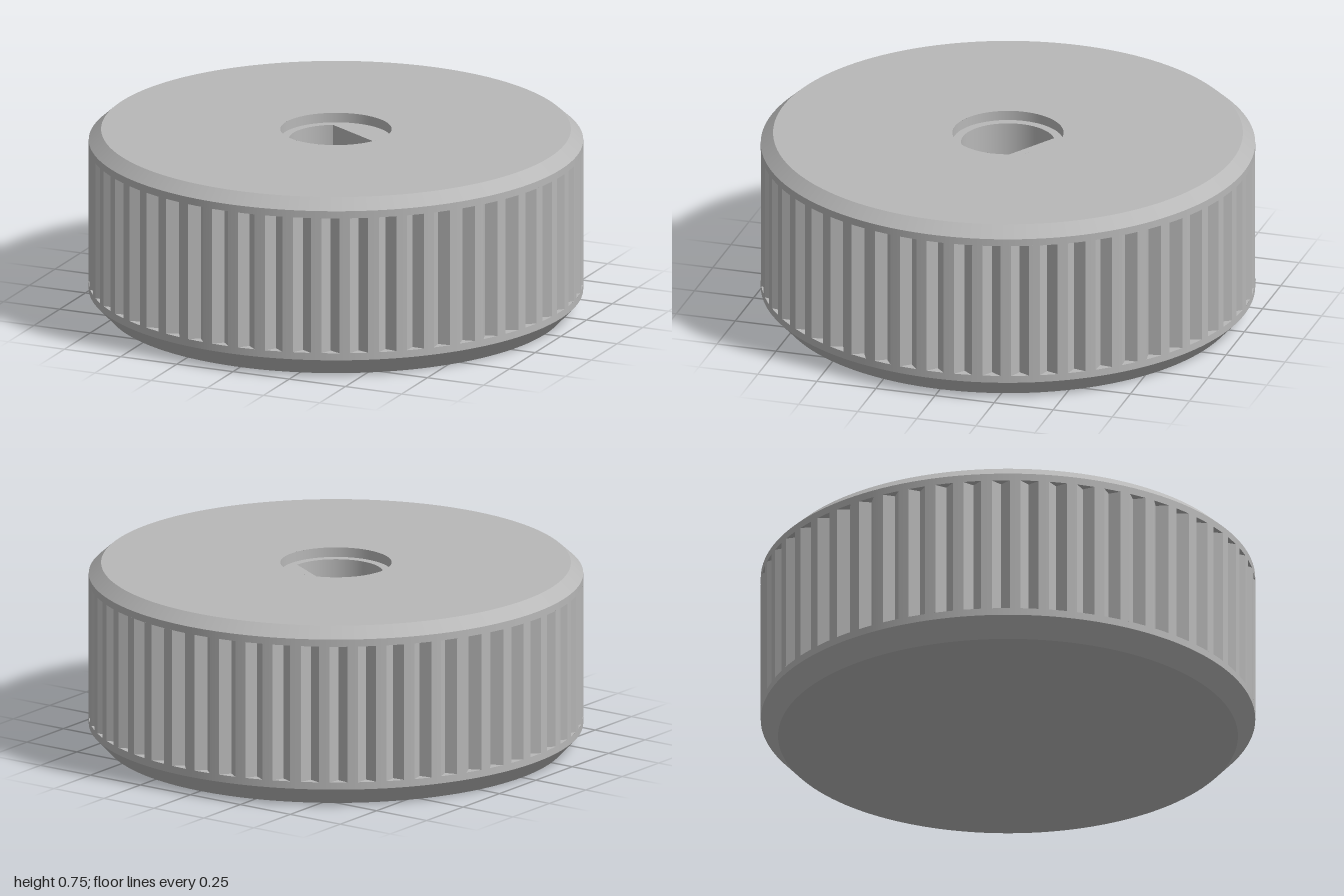
import * as THREE from 'three';

const SEG = 216;
const TOP = 0.75, RECESS_Y = 0.71, BORE_FLOOR = 0.2;
const RECESS_R = 0.225, BORE_R = 0.19, FLAT_DIST = 0.1;
const GROOVES = 54, GROOVE_HALF = 0.0365, GROOVE_DEPTH = 0.038;
const GRIP_LOW = 0.105, GRIP_HIGH = 0.675;

// Grip band: curved lands alternating with V grooves closed at both ends
function gripGeometry() {
  const pos = [], nor = [];
  const pt = (a, r, y) => new THREE.Vector3(r * Math.cos(a), y, -r * Math.sin(a));
  const tri = (a, b, c, normals) => {
    const flat = b.clone().sub(a).cross(c.clone().sub(a)).normalize();
    [a, b, c].forEach((p, i) => {
      pos.push(p.x, p.y, p.z);
      const n = normals ? normals[i] : flat;
      nor.push(n.x, n.y, n.z);
    });
  };
  const wall = (a0, r0, a1, r1, smooth) => {
    const A = pt(a0, r0, GRIP_LOW), B = pt(a1, r1, GRIP_LOW);
    const C = pt(a1, r1, GRIP_HIGH), D = pt(a0, r0, GRIP_HIGH);
    const n0 = pt(a0, 1, 0), n1 = pt(a1, 1, 0);
    tri(A, B, C, smooth && [n0, n1, n1]);
    tri(A, C, D, smooth && [n0, n1, n0]);
  };
  const pitch = Math.PI * 2 / GROOVES;
  for (let i = 0; i < GROOVES; i++) {
    const mid = i * pitch, from = mid - GROOVE_HALF, to = mid + GROOVE_HALF;
    const deep = 1 - GROOVE_DEPTH;
    wall(from, 1, mid, deep, false);
    wall(mid, deep, to, 1, false);
    // groove ends
    tri(pt(from, 1, GRIP_LOW), pt(to, 1, GRIP_LOW), pt(mid, deep, GRIP_LOW));
    tri(pt(from, 1, GRIP_HIGH), pt(mid, deep, GRIP_HIGH), pt(to, 1, GRIP_HIGH));
    // land
    const next = mid + pitch - GROOVE_HALF, half = (to + next) / 2;
    wall(to, 1, half, 1, true);
    wall(half, 1, next, 1, true);
  }
  const g = new THREE.BufferGeometry();
  g.setAttribute('position', new THREE.Float32BufferAttribute(pos, 3));
  g.setAttribute('normal', new THREE.Float32BufferAttribute(nor, 3));
  return g;
}

export function createModel() {
  const knob = new THREE.Group();
  knob.name = 'knob';
  const grey = new THREE.MeshStandardMaterial({ color: 0xb8b8b8, side: THREE.DoubleSide });
  grey.name = 'grey';

  const add = (name, geometry) => {
    const mesh = new THREE.Mesh(geometry, grey);
    mesh.name = name;
    knob.add(mesh);
    return mesh;
  };
  // Open conical or cylindrical band between two heights
  const band = (name, r0, y0, r1, y1) =>
    add(name, new THREE.CylinderGeometry(r1, r0, y1 - y0, SEG, 1, true).translate(0, (y0 + y1) / 2, 0));
  // Flat shape laid face up at a height
  const level = (name, geometry, y) => add(name, geometry.rotateX(-Math.PI / 2).translate(0, y, 0));

  // Outer body
  add('base', new THREE.CircleGeometry(0.93, SEG).rotateX(Math.PI / 2));
  band('lowerChamfer', 0.93, 0, 1, 0.075);
  band('lowerRim', 1, 0.075, 1, GRIP_LOW);
  add('grip', gripGeometry());
  band('upperRim', 1, GRIP_HIGH, 1, 0.705);
  band('upperChamfer', 1, 0.705, 0.95, TOP);
  level('topFace', new THREE.RingGeometry(RECESS_R, 0.95, SEG), TOP);

  // Shallow round recess with a D-shaped shaft bore
  const flatAngle = Math.PI / 3, spread = Math.acos(FLAT_DIST / BORE_R);
  const start = flatAngle + spread, sweep = Math.PI * 2 - 2 * spread;
  const dShape = new THREE.Shape().absarc(0, 0, BORE_R, start, start + sweep, false);
  const recess = new THREE.Shape().absarc(0, 0, RECESS_R, 0, Math.PI * 2, false);
  recess.holes.push(dShape);

  const inward = g => { // turn a wall to face the axis
    g.scale(-1, 1, 1);
    const n = g.attributes.normal;
    for (let i = 0; i < n.count; i++) n.setXYZ(i, -n.getX(i), -n.getY(i), -n.getZ(i));
    return g;
  };
  const recessDepth = TOP - RECESS_Y, boreDepth = RECESS_Y - BORE_FLOOR;
  add('recessWall', inward(new THREE.CylinderGeometry(RECESS_R, RECESS_R, recessDepth, 96, 1, true)))
    .position.y = TOP - recessDepth / 2;
  level('recessFloor', new THREE.ShapeGeometry(recess, 96), RECESS_Y);

  const boreY = BORE_FLOOR + boreDepth / 2;
  // mirrored in x by inward(), so the arc is laid out from its mirrored end
  add('boreWall', inward(new THREE.CylinderGeometry(BORE_R, BORE_R, boreDepth, 96, 1, true,
    -(start + sweep + Math.PI / 2), sweep))).position.y = boreY;
  const flat = add('boreFlat', new THREE.PlaneGeometry(2 * BORE_R * Math.sin(spread), boreDepth));
  flat.position.set(FLAT_DIST * Math.cos(flatAngle), boreY, -FLAT_DIST * Math.sin(flatAngle));
  flat.rotation.y = flatAngle - Math.PI / 2;
  level('boreFloor', new THREE.ShapeGeometry(dShape, 96), BORE_FLOOR);

  return knob;
}
